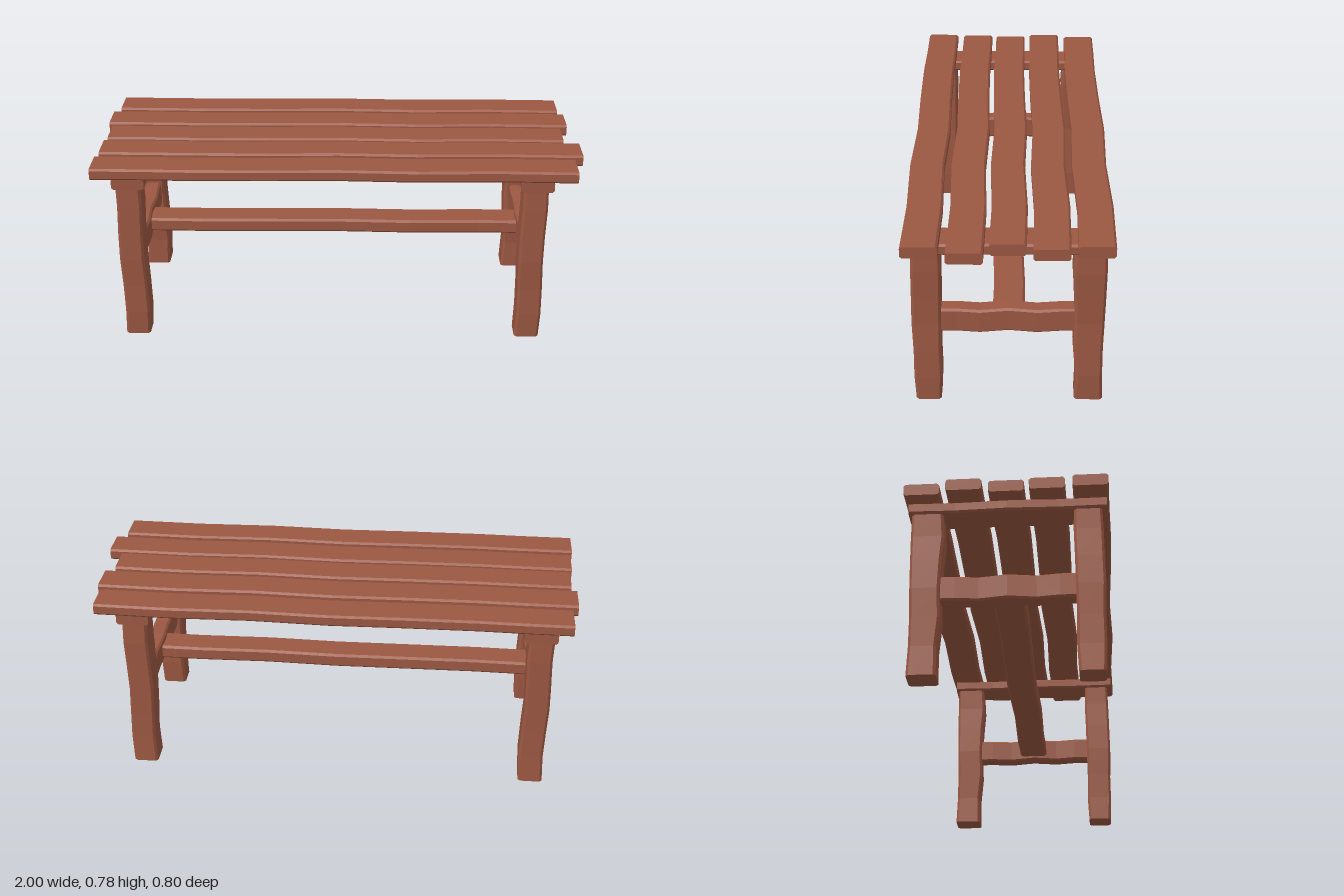
import * as THREE from 'three';

const wood = new THREE.MeshStandardMaterial({ color: 0x9c5842, flatShading: true });
wood.name = 'reddish brown wood';

// Hewn beam along an axis ('x': u=y v=z, 'y': u=z v=x, 'z': u=x v=y).
// stations: [t, uMin, uMax, vMin, vMax]; c: chamfer along u and v
function beam(name, axis, stations, c = 0.01) {
  const order = { x: [0, 1, 2], y: [1, 2, 0], z: [2, 0, 1] }[axis];
  const pos = [], index = [], n = 8;
  for (const [t, u0, u1, v0, v1] of stations) {
    const ring = [
      [u0 + c, v0], [u1 - c, v0], [u1, v0 + c], [u1, v1 - c],
      [u1 - c, v1], [u0 + c, v1], [u0, v1 - c], [u0, v0 + c],
    ];
    for (const [u, v] of ring) {
      const p = [0, 0, 0];
      [t, u, v].forEach((value, k) => { p[order[k]] = value; });
      pos.push(...p);
    }
  }
  const last = (stations.length - 1) * n;
  for (let s = 0; s < last; s += n) {
    for (let i = 0; i < n; i++) {
      const a = s + i, b = s + (i + 1) % n;
      index.push(a, b, b + n, a, b + n, a + n);
    }
  }
  for (let i = 1; i < n - 1; i++) {
    index.push(0, i + 1, i, last, last + i, last + i + 1);
  }
  const indexed = new THREE.BufferGeometry();
  indexed.setAttribute('position', new THREE.Float32BufferAttribute(pos, 3));
  indexed.setIndex(index);
  const geometry = indexed.toNonIndexed();
  geometry.computeVertexNormals();
  const mesh = new THREE.Mesh(geometry, wood);
  mesh.name = name;
  return mesh;
}

export function createModel() {
  const bench = new THREE.Group();
  bench.name = 'bench';

  // Seat slats: wavy boards of uneven length [z centre, left end, right end]
  const wave = [0, 0.001, 0.005, 0.002, -0.005, 0.005, -0.004, 0.002];
  const at = [null, -0.8, -0.6, -0.3, 0, 0.32, 0.65, null];
  const slats = [
    [0.325, -1, 0.96], [0.158, -0.99, 1], [0, -0.98, 0.94],
    [-0.162, -1, 0.975], [-0.327, -0.975, 0.955],
  ];
  slats.forEach(([z, x0, x1], i) => {
    const stations = wave.map((w, k) => {
      const x = k === 0 ? x0 : k === 7 ? x1 : at[k];
      return [x, 0.732, 0.78, z + w - 0.069, z + w + 0.069];
    });
    bench.add(beam('seatSlat' + (i + 1), 'x', stations, 0.008));
  });

  // Legs: offsets [y, inner z, outer z, x shift] for front and back
  const frontShape = [
    [0, 0.266, 0.366, 0], [0.11, 0.26, 0.371, 0.004], [0.23, 0.262, 0.37, 0.002],
    [0.36, 0.26, 0.374, -0.003], [0.48, 0.258, 0.372, -0.002],
    [0.6, 0.255, 0.37, 0.002], [0.69, 0.257, 0.367, 0],
  ];
  const backShape = [
    [0, 0.26, 0.372, 0], [0.12, 0.262, 0.368, 0.005], [0.24, 0.251, 0.367, 0.001],
    [0.36, 0.255, 0.37, -0.004], [0.48, 0.251, 0.372, -0.001],
    [0.59, 0.243, 0.373, 0.003], [0.69, 0.249, 0.371, 0],
  ];

  for (const [side, cx] of [['right', -0.855], ['left', 0.798]]) {
    bench.add(beam(side + 'FrontLeg', 'y',
      frontShape.map(([y, a, b, s]) => [y, a, b, cx - 0.051 + s, cx + 0.051 + s])));
    bench.add(beam(side + 'BackLeg', 'y',
      backShape.map(([y, a, b, s]) => [y, -b, -a, cx - 0.051 + s, cx + 0.051 + s])));

    // Bearer carrying the slats
    const bx = cx + 0.004;
    bench.add(beam(side + 'Bearer', 'z',
      [[-0.383, 0], [-0.2, 0.004], [0, -0.003], [0.2, 0.003], [0.385, 0]]
        .map(([z, s]) => [z, bx - 0.066 + s, bx + 0.066 + s, 0.687, 0.734]), 0.008));

    // Stretcher between the front and back leg
    bench.add(beam(side + 'Stretcher', 'z',
      [[-0.28, 0], [-0.2, 0], [-0.11, -0.004], [0, 0.002], [0.11, -0.004], [0.2, 0], [0.28, -0.001]]
        .map(([z, s]) => [z, cx - 0.034 - s, cx + 0.034 - s, 0.316 + s, 0.419 + s]), 0.008));
  }

  // Long centre stretcher
  bench.add(beam('centreStretcher', 'x',
    [[-0.85, 0], [-0.6, 0.004], [-0.3, 0], [0, -0.004], [0.3, 0.004], [0.6, -0.003], [0.8, 0]]
      .map(([x, s]) => [x, 0.334, 0.394, s - 0.062, s + 0.062]), 0.009));

  return bench;
}
